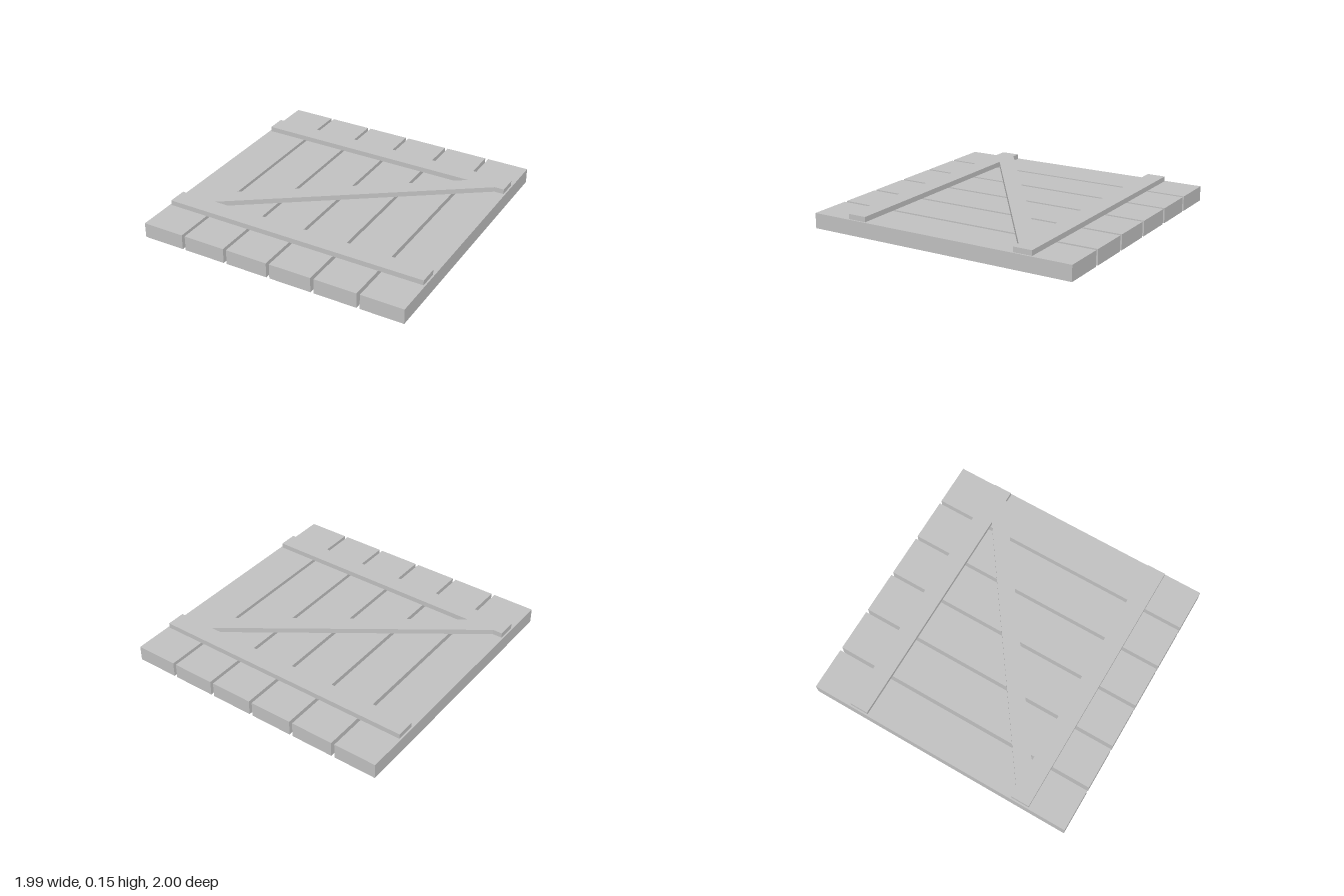
import * as THREE from 'three';

export function createModel() {
  const model = new THREE.Group();
  model.name = 'plankPanel';
  const wood = new THREE.MeshStandardMaterial({ color: 0xc0c0c0 });
  wood.name = 'pale grey';

  const plankHeight = 0.11, battenHeight = 0.037;

  function add(name, geometry, x, y, z) {
    const mesh = new THREE.Mesh(geometry, wood);
    mesh.name = name;
    mesh.position.set(x, y, z);
    model.add(mesh);
  }

  // Six planks side by side with narrow gaps
  const plank = new THREE.BoxGeometry(0.312, plankHeight, 2);
  for (let i = 0; i < 6; i++) {
    add('plank' + (i + 1), plank, (i - 2.5) * 0.336, plankHeight / 2, 0);
  }

  // Two cross battens
  const batten = new THREE.BoxGeometry(1.968, battenHeight, 0.138);
  const battenY = plankHeight + battenHeight / 2;
  add('frontBatten', batten, 0, battenY, 0.646);
  add('backBatten', batten, 0, battenY, -0.646);

  // Diagonal brace, cut flush against both battens
  const outline = new THREE.Shape([
    new THREE.Vector2(-0.915, -0.577),
    new THREE.Vector2(-0.705, -0.577),
    new THREE.Vector2(0.915, 0.577),
    new THREE.Vector2(0.705, 0.577),
  ]);
  const brace = new THREE.ExtrudeGeometry(outline, { depth: battenHeight, bevelEnabled: false });
  brace.rotateX(-Math.PI / 2);
  add('diagonalBrace', brace, 0, plankHeight, 0);

  return model;
}
